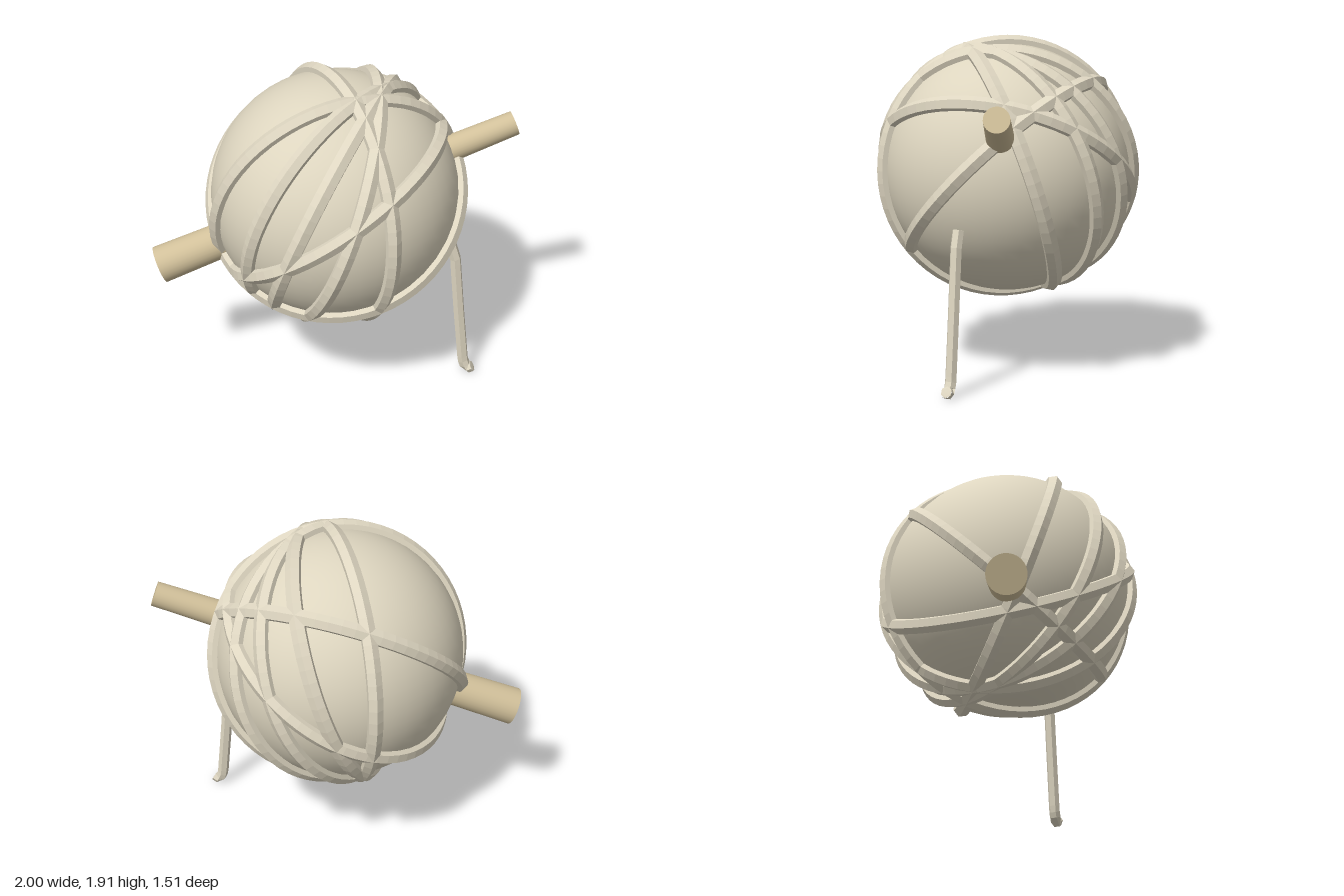
import * as THREE from 'three';

export function createModel() {
  const model = new THREE.Group();
  const ballMat = new THREE.MeshStandardMaterial({ color: 0xddd5bf });
  ballMat.name = 'wool';
  const strandMat = new THREE.MeshStandardMaterial({ color: 0xded6c1, flatShading: true });
  strandMat.name = 'strand wool';
  const woodMat = new THREE.MeshStandardMaterial({ color: 0xd1c09a });
  woodMat.name = 'wood';

  const centre = new THREE.Vector3(0, 1.16, 0);
  const add = (name, geometry, material) => {
    const mesh = new THREE.Mesh(geometry, material);
    mesh.name = name;
    model.add(mesh);
    return mesh;
  };

  // Core of the ball
  add('ball', new THREE.SphereGeometry(0.705, 48, 32), ballMat).position.copy(centre);

  // Wound strands: six-sided rings around the core, each given by its axis
  const axes = [
    [-0.57, 0.82, 0],
    [0, 0.71, 0.7],
    [0.8, 0, -0.6],
    [0.53, -0.32, 0.79],
    [0.84, -0.31, 0.44],
    [0.92, -0.37, 0.12],
    [0.91, -0.33, -0.25],
  ];
  const ringGeometry = new THREE.TorusGeometry(0.709, 0.046, 6, 64);
  const forward = new THREE.Vector3(0, 0, 1);
  axes.forEach((axis, i) => {
    const ring = add('strand' + (i + 1), ringGeometry, strandMat);
    ring.position.copy(centre);
    ring.quaternion.setFromUnitVectors(forward, new THREE.Vector3(...axis).normalize());
  });

  // Tapered stick through the ball
  const thick = new THREE.Vector3(-0.95, 0.785, 0.365);
  const thin = new THREE.Vector3(0.967, 1.525, -0.35);
  const along = thin.clone().sub(thick);
  const stick = add('stick', new THREE.CylinderGeometry(0.07, 0.108, along.length(), 28), woodMat);
  stick.position.copy(thick).add(thin).multiplyScalar(0.5);
  stick.quaternion.setFromUnitVectors(new THREE.Vector3(0, 1, 0), along.normalize());

  // Loose end hanging down, with a small upward kick at the tip
  const path = new THREE.CurvePath();
  const points = [[0.675, 0.895], [0.705, 0.8], [0.74, 0.45], [0.78, 0.09], [0.805, 0.027], [0.838, 0.045]]
    .map(([x, y]) => new THREE.Vector3(x, y, 0));
  for (let i = 1; i < points.length; i++) path.add(new THREE.LineCurve3(points[i - 1], points[i]));
  add('looseEnd', new THREE.TubeGeometry(path, 28, 0.033, 6), strandMat);

  // Caps closing the loose end
  [[0, 1], [5, 4]].forEach(([end, next]) => {
    const cap = add('looseEndCap', new THREE.SphereGeometry(0.033, 6, 2, 0, Math.PI * 2, 0, Math.PI / 2), strandMat);
    cap.scale.y = 0.05;
    cap.position.copy(points[end]);
    cap.quaternion.setFromUnitVectors(
      new THREE.Vector3(0, 1, 0),
      points[end].clone().sub(points[next]).normalize()
    );
  });

  return model;
}
